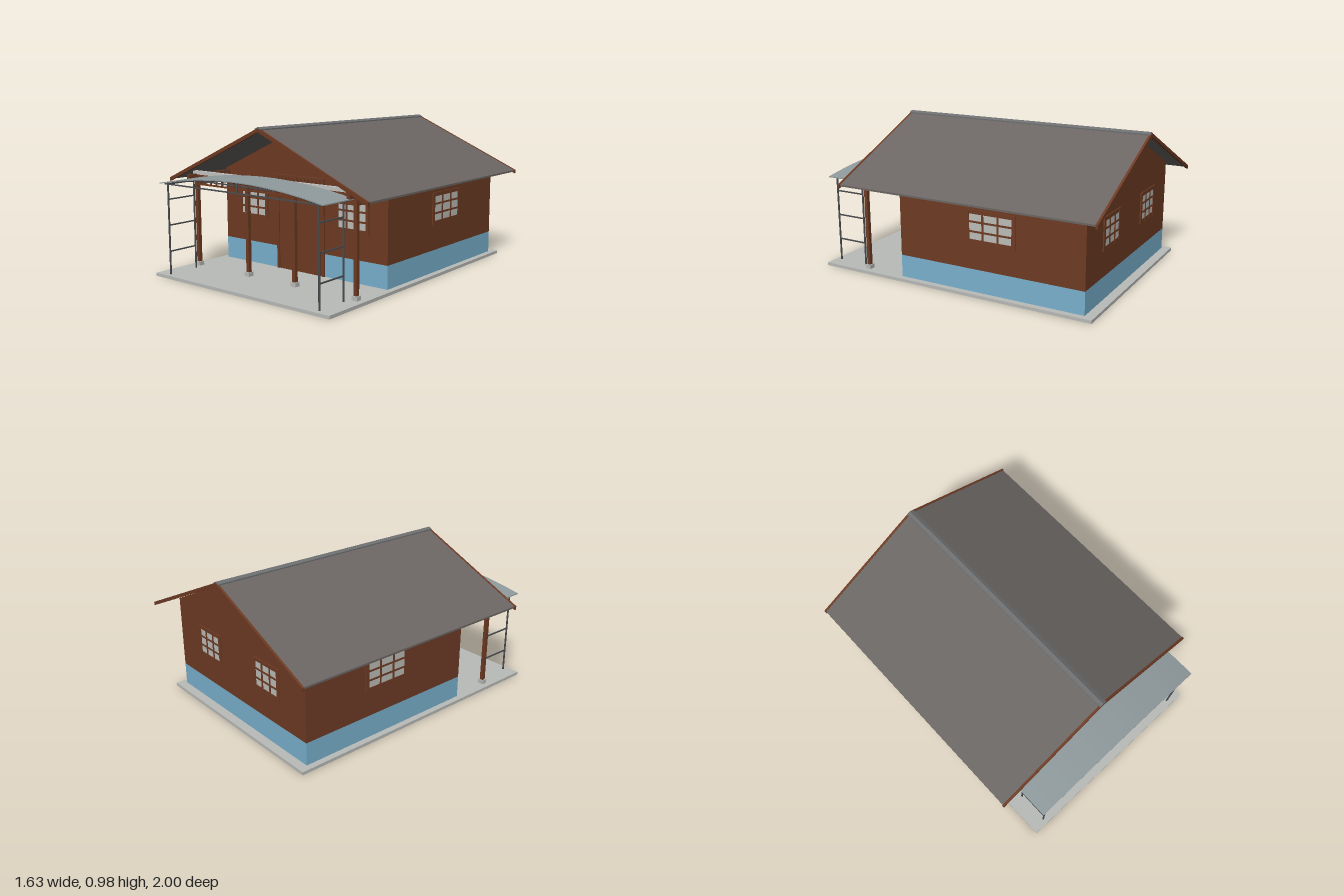
import * as THREE from 'three';

const paint = (name, color, side = THREE.FrontSide) => {
  const m = new THREE.MeshStandardMaterial({ color, side });
  m.name = name;
  return m;
};

export function createModel() {
  const wood = paint('brown wood', 0x6e3b24);
  const blue = paint('blue plinth', 0x79b1ce);
  const concrete = paint('concrete', 0xb9bbb8);
  const roofGrey = paint('roof grey', 0x6b6663);
  const ridgeGrey = paint('ridge grey', 0x6c6e70);
  const glass = paint('pale glass', 0xbdbdb9);
  const steel = paint('dark steel', 0x4a4d50);
  const sheet = paint('canopy sheet', 0x8f9a9d, THREE.DoubleSide);
  const white = paint('pale beam', 0xc4c4c2);

  const house = new THREE.Group();
  house.name = 'house';

  const add = (name, geo, mat, parent = house) => {
    const mesh = new THREE.Mesh(geo, mat);
    mesh.name = name;
    parent.add(mesh);
    return mesh;
  };
  // box given by its minimum and maximum on each axis
  const box = (name, mat, x0, x1, y0, y1, z0, z1, parent = house) => {
    const m = add(name, new THREE.BoxGeometry(x1 - x0, y1 - y0, z1 - z0), mat, parent);
    m.position.set((x0 + x1) / 2, (y0 + y1) / 2, (z0 + z1) / 2);
    return m;
  };
  // outline in x and y pushed from z0 to z1
  const prism = (name, mat, points, z0, z1) => {
    const shape = new THREE.Shape(points.map(([x, y]) => new THREE.Vector2(x, y)));
    const geo = new THREE.ExtrudeGeometry(shape, { depth: z1 - z0, bevelEnabled: false });
    return add(name, geo.translate(0, 0, z0), mat);
  };

  // slab, plinth and walls
  box('slab', concrete, -0.72, 0.72, 0, 0.02, -0.94, 1);
  box('plinth', blue, -0.68, 0.68, 0.02, 0.167, -0.88, 0.4);
  box('walls', wood, -0.68, 0.68, 0.167, 0.65, -0.88, 0.4);
  const gable = [[-0.68, 0.65], [0.68, 0.65], [0, 0.958]];
  prism('gables', wood, gable, -0.884, 0.404);

  // roof: a bent sheet, a board along each end, and the ridge cap
  const slope = 0.444;
  const chevron = (hw, top, thick) => [
    [-hw, top - hw * slope], [-hw, top - hw * slope - thick], [0, top - thick],
    [hw, top - hw * slope - thick], [hw, top - hw * slope], [0, top],
  ];
  prism('roof', roofGrey, chevron(0.81, 0.973, 0.012), -0.985, 0.77);
  prism('frontBargeboard', wood, chevron(0.815, 0.975, 0.024), 0.77, 0.785);
  prism('backBargeboard', wood, chevron(0.815, 0.975, 0.024), -1, -0.985);
  prism('ridgeCap', ridgeGrey, chevron(0.025, 0.981, 0.012), -0.995, 0.785);

  // window facing +z around its own origin, three by three panes
  const addWindow = (x, y, z, turn, width) => {
    const w = new THREE.Group();
    w.name = 'window';
    const hw = width / 2, hh = 0.092, bar = 0.012;
    box('glass', glass, -hw, hw, -hh, hh, 0, 0.004, w);
    for (let i = 0; i < 4; i++) {
      const t = i === 0 || i === 3 ? bar : bar / 2;
      const bx = -hw + (i * width) / 3, by = -hh + (i * 2 * hh) / 3;
      box('upright', wood, bx - t, bx + t, -hh - bar, hh + bar, 0, 0.008, w);
      box('crossbar', wood, -hw - bar, hw + bar, by - t, by + t, 0, 0.007, w);
    }
    w.position.set(x, y, z);
    w.rotation.y = turn;
    house.add(w);
  };
  for (const s of [-1, 1]) {
    addWindow(s * 0.415, 0.437, 0.4, 0, 0.235);
    addWindow(s * 0.31, 0.437, -0.88, Math.PI, 0.235);
    addWindow(s * 0.68, 0.44, -0.262, (s * Math.PI) / 2, 0.315);
  }

  // door with frame and the slatted vent above it
  box('door', wood, -0.18, 0.18, 0.02, 0.545, 0.4, 0.405);
  for (const s of [-1, 1])
    box('doorJamb', wood, s * 0.19 - 0.01, s * 0.19 + 0.01, 0.02, 0.56, 0.4, 0.412);
  box('doorHead', wood, -0.2, 0.2, 0.545, 0.563, 0.4, 0.412);
  box('ventTop', wood, -0.2, 0.2, 0.635, 0.648, 0.4, 0.415);
  for (let i = 0; i <= 12; i++) {
    const x = -0.192 + i * 0.032;
    box('ventSlat', wood, x - 0.005, x + 0.005, 0.563, 0.635, 0.4, 0.412);
  }

  // porch posts on concrete feet
  for (const x of [-0.66, -0.195, 0.195, 0.66]) {
    box('porchPost', wood, x - 0.012, x + 0.012, 0.045, 0.64, 0.67, 0.694);
    box('postFoot', concrete, x - 0.02, x + 0.02, 0.02, 0.047, 0.662, 0.702);
  }

  // porch beams and slatted friezes
  box('frontBeam', white, -0.69, 0.69, 0.636, 0.66, 0.67, 0.694);
  for (const s of [-1, 1]) {
    const x = s * 0.66;
    box('sideBeam', wood, x - 0.012, x + 0.012, 0.612, 0.64, 0.4, 0.76);
    box('sideRail', wood, x - 0.007, x + 0.007, 0.566, 0.576, 0.4, 0.68);
    for (let i = 0; i < 8; i++) {
      const z = 0.432 + i * 0.031;
      box('sideSlat', wood, x - 0.005, x + 0.005, 0.576, 0.612, z - 0.005, z + 0.005);
    }
  }
  box('frontRail', wood, -0.66, 0.66, 0.566, 0.576, 0.676, 0.688);
  box('frontTopRail', wood, -0.66, 0.66, 0.622, 0.636, 0.676, 0.688);
  for (let i = 0; i <= 24; i++) {
    const x = -0.636 + i * 0.053;
    box('frontSlat', wood, x - 0.005, x + 0.005, 0.576, 0.622, 0.677, 0.687);
  }

  // curved canopy sheet
  const archY = (x) => 0.676 - 0.064 * (x / 0.67) ** 2;
  const outline = [];
  for (let i = 0; i <= 16; i++) outline.push([-0.67 + (i * 1.34) / 16, 0]);
  const top = outline.map(([x]) => [x, archY(x)]);
  const under = top.map(([x, y]) => [x, y - 0.006]).reverse();
  prism('canopy', sheet, [...under, ...top], 0.72, 0.988);

  // canopy frame: arched trusses on ladder legs
  for (const z of [0.75, 0.962]) {
    const pts = top.map(([x, y]) => new THREE.Vector3(x * 0.97, y - 0.009, z));
    add('archBar', new THREE.TubeGeometry(new THREE.CatmullRomCurve3(pts), 24, 0.005, 6), steel);
    box('tieBar', steel, -0.65, 0.65, 0.601, 0.609, z - 0.004, z + 0.004);
    box('kingBar', steel, -0.004, 0.004, 0.605, 0.668, z - 0.004, z + 0.004);
    for (const s of [-1, 1]) {
      const leg = add('canopyLeg', new THREE.CylinderGeometry(0.006, 0.006, 0.595, 8), steel);
      leg.position.set(s * 0.62, 0.3175, z);
    }
  }
  for (const s of [-1, 1])
    for (const y of [0.17, 0.34, 0.507, 0.605])
      box('ladderRung', steel, s * 0.62 - 0.004, s * 0.62 + 0.004, y - 0.004, y + 0.004, 0.75, 0.962);

  return house;
}
